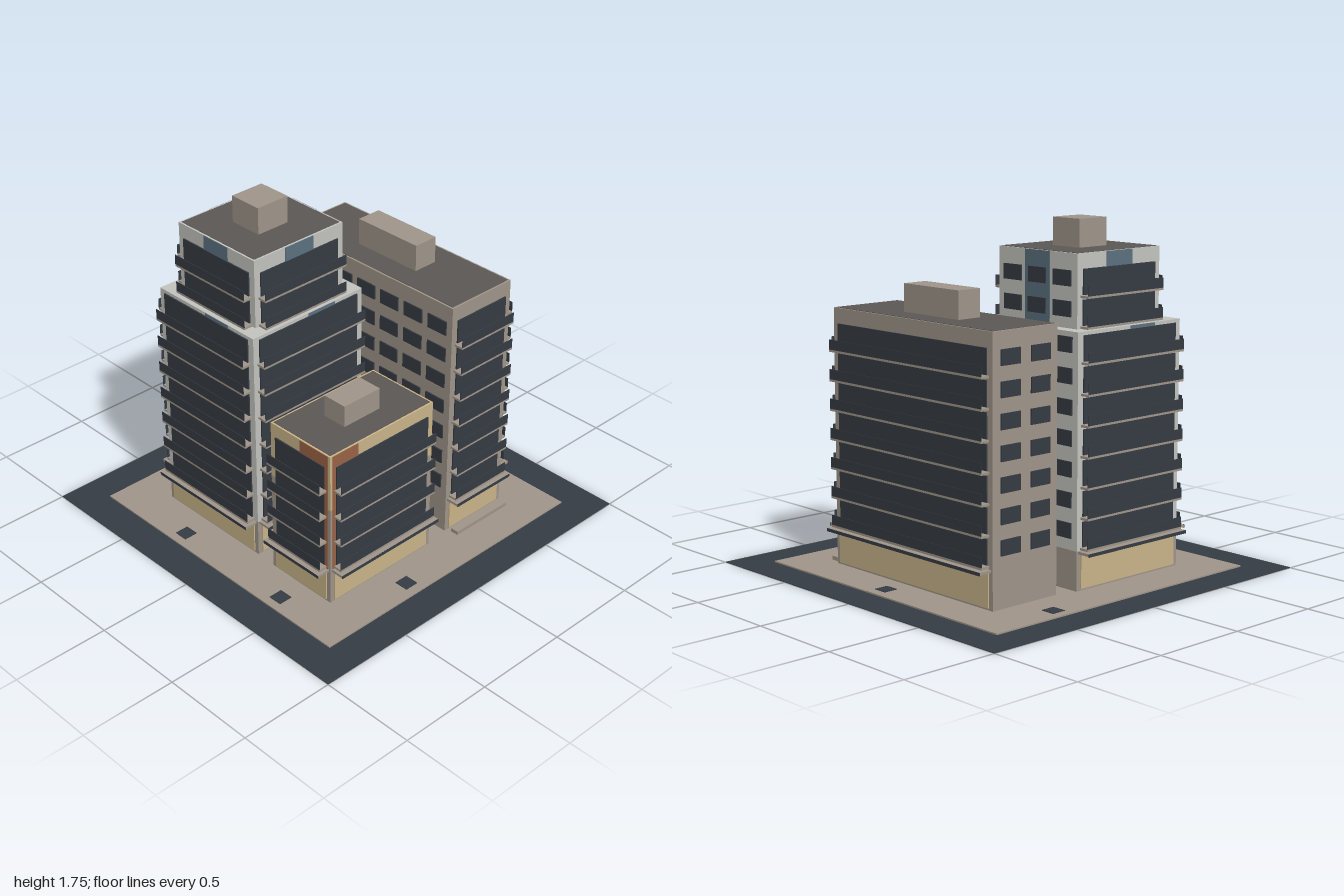
import * as THREE from 'three';

const mat = (name, color) => {
  const m = new THREE.MeshStandardMaterial({ color });
  m.name = name;
  return m;
};

export function createModel() {
  const dark = mat('darkGlass', 0x363c44);
  const taupe = mat('taupe', 0xa0968a);
  const sand = mat('sand', 0xcbb58a);
  const pale = mat('paleGrey', 0xc4c5c0);
  const blue = mat('slateBlue', 0x5b7180);
  const rust = mat('rust', 0x9a6347);
  const roofGrey = mat('roofGrey', 0x5b5855);

  const model = new THREE.Group();
  model.name = 'cityBlock';

  // Box given by its extents on each axis
  function box(parent, name, m, x0, x1, y0, y1, z0, z1) {
    const mesh = new THREE.Mesh(new THREE.BoxGeometry(x1 - x0, y1 - y0, z1 - z0), m);
    mesh.position.set((x0 + x1) / 2, (y0 + y1) / 2, (z0 + z1) / 2);
    mesh.name = name;
    parent.add(mesh);
    return mesh;
  }

  // Group whose local +z points out of one wall of a block
  function wall(parent, b, side) {
    const g = new THREE.Group();
    const cx = (b.x0 + b.x1) / 2, cz = (b.z0 + b.z1) / 2;
    const spots = {
      front: [cx, b.z1, 0], back: [cx, b.z0, Math.PI],
      right: [b.x1, cz, Math.PI / 2], left: [b.x0, cz, -Math.PI / 2],
    };
    const [x, z, turn] = spots[side];
    g.position.set(x, 0, z);
    g.rotation.y = turn;
    g.name = side + 'Wall';
    parent.add(g);
    const across = side === 'front' || side === 'back';
    return { g, h: (across ? b.x1 - b.x0 : b.z1 - b.z0) / 2 };
  }

  // Strip of accent colour over one bay of a wall
  function accentStrip(g, h, bays, index, m, y0, y1) {
    const step = (2 * h - 0.03) / bays;
    const x = -h + 0.015 + index * step;
    box(g, 'accentStrip', m, x, x + step, y0, y1, -0.002, 0.003);
  }

  // Continuous glazing with a balcony slab and thin railing on each floor
  function balconies(g, h, base, pitch, floors) {
    for (let i = 0; i < floors; i++) {
      const y = base + i * pitch;
      box(g, 'windowBand', dark, -h + 0.035, h - 0.035, y + 0.022, y + 0.145, -0.001, 0.007);
      box(g, 'balconySlab', taupe, -h + 0.022, h - 0.022, y + 0.009, y + 0.02, 0, 0.05);
      box(g, 'balconyRail', dark, -h + 0.022, h - 0.022, y + 0.02, y + 0.07, 0.047, 0.05);
    }
  }

  // Separate windows, one per bay on each floor
  function punchedWindows(g, h, bays, base, pitch, floors) {
    const step = (2 * h - 0.03) / bays;
    for (let i = 0; i < floors; i++) for (let k = 0; k < bays; k++) {
      const x = -h + 0.015 + (k + 0.5) * step, y = base + i * pitch;
      box(g, 'window', dark, x - 0.06, x + 0.06, y + 0.062, y + 0.137, -0.001, 0.007);
    }
  }

  // Ground-floor shopfront below a canopy with a dark fascia
  function shopfront(g, h) {
    box(g, 'shopfront', sand, -h + 0.025, h - 0.025, 0.02, 0.187, -0.002, 0.006);
    box(g, 'canopy', taupe, -h + 0.01, h - 0.01, 0.191, 0.204, 0, 0.07);
    box(g, 'canopyFascia', dark, -h + 0.01, h - 0.01, 0.188, 0.204, 0.069, 0.072);
  }

  // Dresses the four walls of one block
  function dress(parent, b, o) {
    for (const side of ['front', 'right', 'back', 'left']) {
      const { g, h } = wall(parent, b, side);
      const bays = Math.max(2, Math.round((2 * h - 0.03) / 0.168));
      if (o.accent) {
        accentStrip(g, h, bays, o.accentAt[side], o.accent, o.accentFrom, b.y1 - 0.001);
      }
      if (o.balconySides.includes(side)) {
        balconies(g, h, o.base, o.pitch, o.floors);
        if (o.shop) shopfront(g, h);
      } else {
        punchedWindows(g, h, bays, o.base, o.pitch, o.floors);
      }
    }
  }

  function body(parent, name, m, b, y0 = b.y0, y1 = b.y1) {
    box(parent, name, m, b.x0, b.x1, y0, y1, b.z0, b.z1);
  }

  function roof(parent, b, hut) {
    box(parent, 'roof', roofGrey, b.x0 + 0.01, b.x1 - 0.01, b.y1 - 0.003, b.y1 + 0.002,
      b.z0 + 0.01, b.z1 - 0.01);
    box(parent, 'roofHut', taupe, ...hut);
  }

  function building(name) {
    const g = new THREE.Group();
    g.name = name;
    model.add(g);
    return g;
  }

  // Ground, pavement and dark planting squares
  box(model, 'road', dark, -1, 1, 0, 0.003, -1, 1);
  box(model, 'pavement', taupe, -0.825, 0.825, 0.002, 0.01, -0.825, 0.825);
  for (const [x, z] of [[0.4, -0.745], [0.74, 0.045], [-0.745, -0.305], [-0.745, 0.4], [-0.23, 0.74]]) {
    box(model, 'pavementSquare', dark, x - 0.037, x + 0.037, 0.008, 0.013, z - 0.037, z + 0.037);
  }

  // Stepped tower
  const tower = building('tower');
  const low = { x0: -0.595, x1: 0.105, y0: 0.005, y1: 1.25, z0: -0.6, z1: 0.075 };
  const high = { x0: -0.52, x1: 0.04, y0: 1.25, y1: 1.605, z0: -0.528, z1: 0.008 };
  body(tower, 'towerBase', taupe, low, 0.005, 0.205);
  body(tower, 'towerBody', pale, low, 0.205);
  body(tower, 'towerTop', pale, high);
  const open = ['front', 'back', 'left'];
  dress(tower, low, {
    balconySides: open, base: 0.2, pitch: 0.148, floors: 7, shop: true, accent: blue,
    accentFrom: 0.205, accentAt: { front: 2, right: 2, back: 2, left: 2 },
  });
  dress(tower, high, {
    balconySides: open, base: 1.242, pitch: 0.145, floors: 2, accent: blue,
    accentFrom: 1.25, accentAt: { front: 1, right: 1, back: 1, left: 1 },
  });
  roof(tower, high, [-0.335, -0.15, 1.6, 1.745, -0.35, -0.168]);

  // Low block with rust strips
  const lowBlock = building('lowBlock');
  const lb = { x0: -0.6, x1: 0.075, y0: 0.005, y1: 0.85, z0: 0.19, z1: 0.595 };
  body(lowBlock, 'lowBlockBase', taupe, lb, 0.005, 0.55);
  body(lowBlock, 'lowBlockBody', sand, lb, 0.55);
  dress(lowBlock, lb, {
    balconySides: ['front', 'left'], base: 0.2, pitch: 0.146, floors: 4, shop: true, accent: rust,
    accentFrom: 0.205, accentAt: { front: 0, right: 0, back: 0, left: 1 },
  });
  roof(lowBlock, lb, [-0.38, -0.15, 0.845, 0.965, 0.325, 0.46]);

  // Long slab block with an entrance step
  const slab = building('slabBlock');
  const sb = { x0: 0.21, x1: 0.615, y0: 0.005, y1: 1.3, z0: -0.57, z1: 0.578 };
  body(slab, 'slabBody', taupe, sb);
  dress(slab, sb, {
    balconySides: ['front', 'right'], base: 0.2, pitch: 0.1465, floors: 7, shop: true,
  });
  box(slab, 'entranceStep', taupe, 0.23, 0.595, 0.005, 0.03, 0.605, 0.648);
  roof(slab, sb, [0.345, 0.48, 1.295, 1.44, -0.19, 0.203]);

  return model;
}
